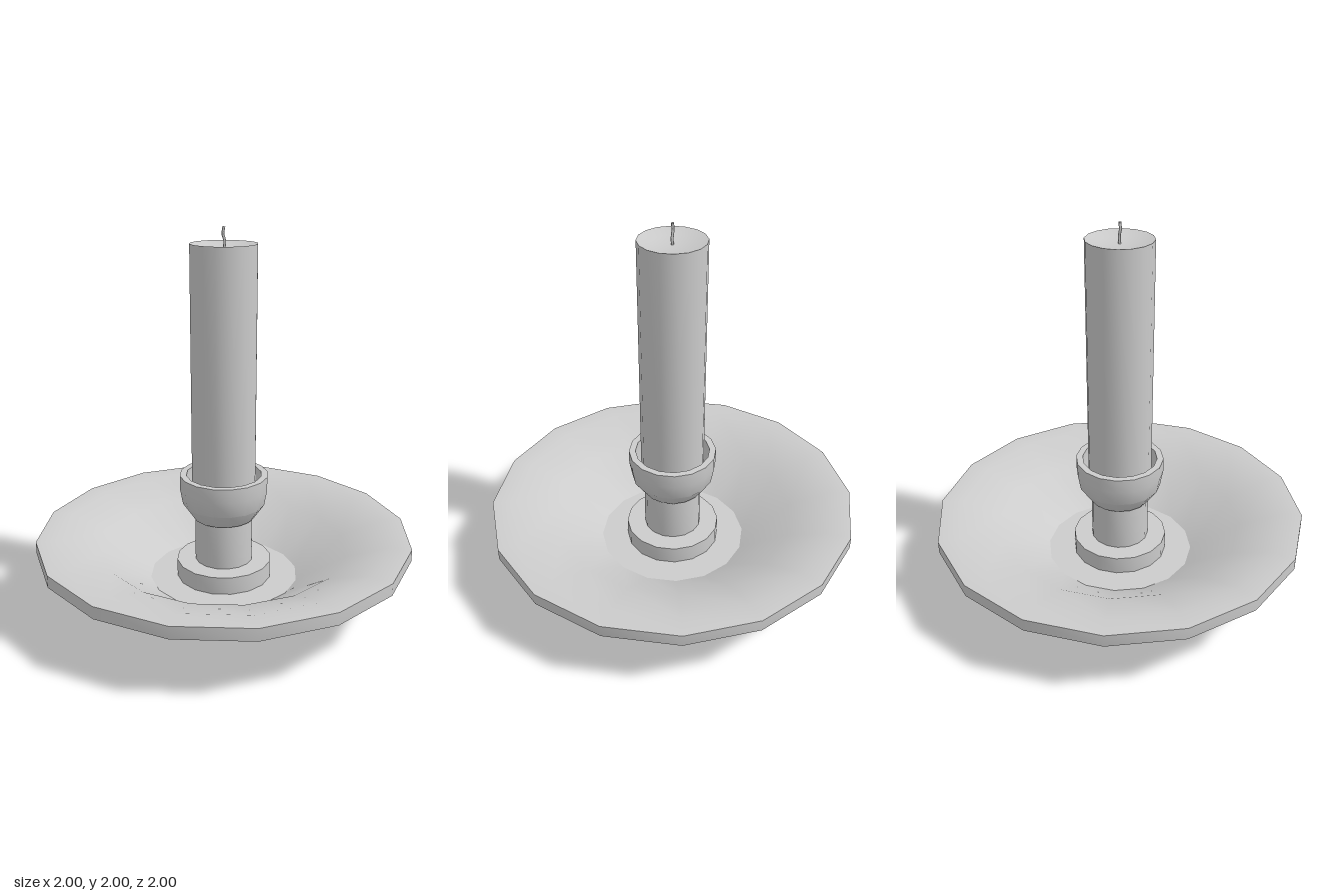
import * as THREE from 'three';
import { toCreasedNormals } from 'three/addons/utils/BufferGeometryUtils.js';

const SIDES = 16;

export function createModel() {
  const model = new THREE.Group();
  const material = new THREE.MeshStandardMaterial({ color: 0xcccccc });

  const add = (name, geometry, mat = material) => {
    const mesh = new THREE.Mesh(geometry, mat);
    mesh.name = name;
    model.add(mesh);
  };

  // Turned part: profile of [radius, height] running up the outside, then back to the axis
  const turned = (name, profile, crease = 0.5) => {
    const points = profile.map(([r, y]) => new THREE.Vector2(r, y));
    add(name, toCreasedNormals(new THREE.LatheGeometry(points, SIDES), crease));
  };

  // Flared drip dish with a flat rim
  turned('dish', [
    [0, 0], [0.39, 0], [0.47, 0.11], [0.67, 0.25], [0.89, 0.325], [1, 0.325],
    [1, 0.39], [0.89, 0.39], [0.66, 0.31], [0.4, 0.14], [0, 0.14],
  ]);

  // Foot ring and stem
  turned('foot', [[0, 0.14], [0.255, 0.14], [0.255, 0.235], [0, 0.235]]);
  turned('stem', [[0, 0.235], [0.155, 0.235], [0.155, 0.48], [0, 0.48]]);

  // Hollow cup holding the candle
  turned('cup', [
    [0, 0.48], [0.165, 0.48], [0.22, 0.56], [0.235, 0.645], [0.235, 0.72],
    [0.2, 0.72], [0.2, 0.65], [0.185, 0.57], [0, 0.57],
  ]);

  // Candle with a shallow melted hollow on top
  turned('candle', [[0, 0.57], [0.17, 0.57], [0.17, 1.92], [0.1, 1.902], [0, 1.895]]);

  // Slightly wavy wick
  const wickPath = new THREE.CatmullRomCurve3([
    new THREE.Vector3(0, 1.89, 0),
    new THREE.Vector3(0.004, 1.93, 0.002),
    new THREE.Vector3(-0.004, 1.965, -0.002),
    new THREE.Vector3(0, 2, 0),
  ]);
  const wickMaterial = new THREE.MeshStandardMaterial({ color: 0xcccccc, side: THREE.DoubleSide });
  add('wick', new THREE.TubeGeometry(wickPath, 8, 0.007, 6), wickMaterial);

  return model;
}
